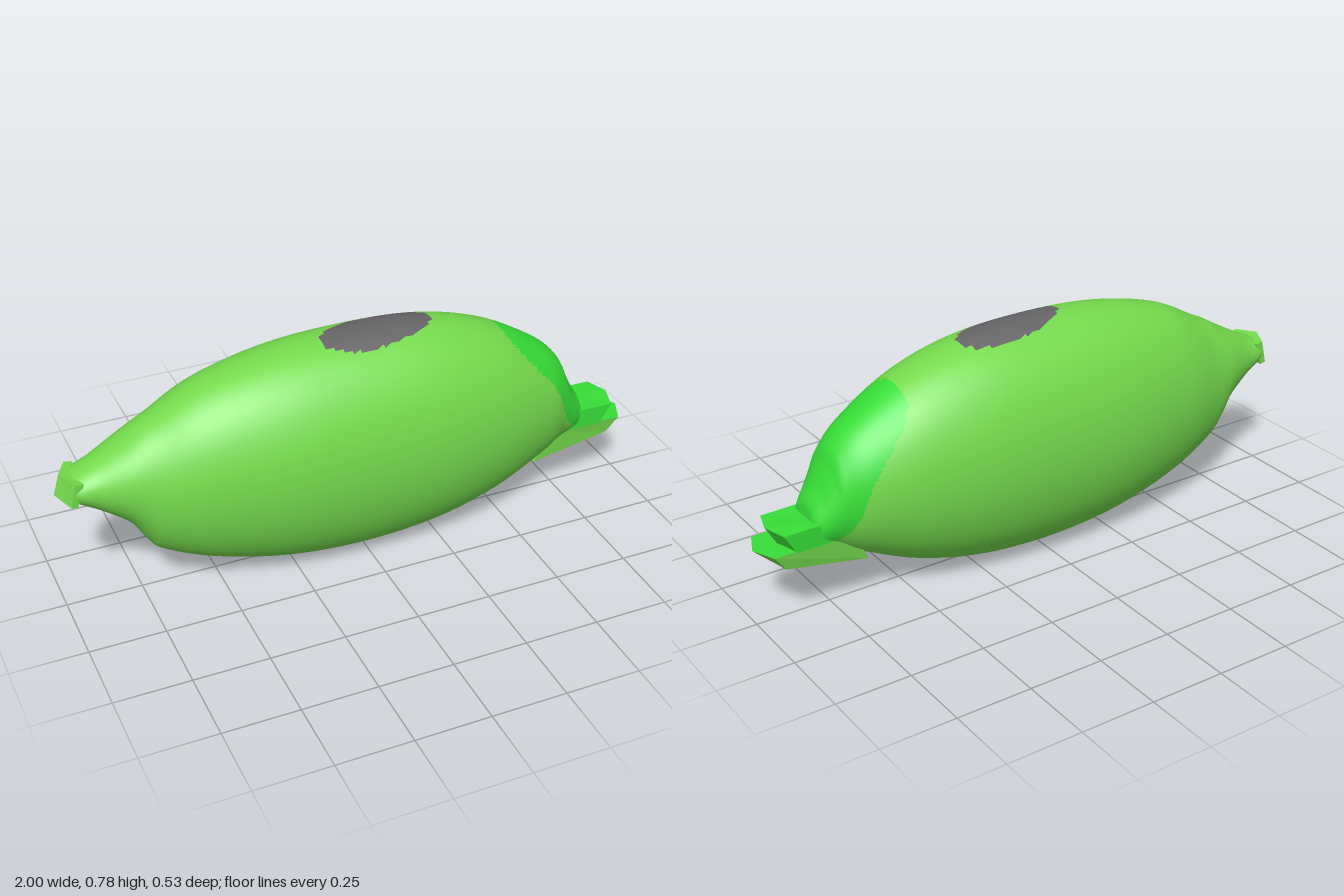
import * as THREE from 'three';

const material = (name, color) => {
  const m = new THREE.MeshStandardMaterial({ color });
  m.name = name;
  return m;
};

// Body stations: x, top y, bottom y, half width
const STATIONS = [
  [-0.96, 0.455, 0.445, 0.005],
  [-0.95, 0.49, 0.41, 0.068],
  [-0.87, 0.53, 0.355, 0.095],
  [-0.78, 0.58, 0.285, 0.13],
  [-0.73, 0.61, 0.205, 0.148],
  [-0.68, 0.635, 0.155, 0.165],
  [-0.52, 0.715, 0.085, 0.215],
  [-0.28, 0.77, 0.025, 0.255],
  [-0.02, 0.785, 0.003, 0.265],
  [0.24, 0.77, 0.02, 0.255],
  [0.46, 0.71, 0.075, 0.22],
  [0.64, 0.61, 0.155, 0.165],
  [0.72, 0.54, 0.195, 0.125],
  [0.75, 0.48, 0.21, 0.11],
  [0.78, 0.42, 0.22, 0.095],
  [0.81, 0.37, 0.23, 0.075],
  [0.818, 0.33, 0.24, 0.06],
  [0.822, 0.3, 0.28, 0.005],
];

// Which colour a body face takes: 0 skin, 1 face patch, 2 back spot
function patchAt(x, y, z) {
  if (x > 0.4) {
    const u = Math.abs((z + 0.008) / 0.145), v = Math.abs((y - 0.465) / 0.225);
    if (u ** 2.4 + v ** 2.4 < 1) return 1;
  }
  if (y > 0.6) {
    const u = (x - 0.07) / 0.2, v = (z - 0.005 + 0.12 * (x - 0.07)) / 0.09;
    if (u * u + v * v < 1) return 2;
  }
  return 0;
}

// Smooth body lofted from elliptical cross-sections
function bodyGeometry() {
  const spline = (pick) =>
    new THREE.CatmullRomCurve3(STATIONS.map(pick), false, 'catmullrom', 0.5);
  const profile = spline(([x, top, bottom]) => new THREE.Vector3(x, top, bottom));
  const widths = spline((s) => new THREE.Vector3(0, 0, s[3]));
  const rows = (STATIONS.length - 1) * 10, cols = 128;
  const pos = [];
  for (let i = 0; i <= rows; i++) {
    const p = profile.getPoint(i / rows);
    const w = widths.getPoint(i / rows).z;
    for (let j = 0; j < cols; j++) {
      const a = (j / cols) * Math.PI * 2;
      pos.push(p.x, (p.y + p.z) / 2 + ((p.y - p.z) / 2) * Math.cos(a), w * Math.sin(a));
    }
  }
  const faces = [[], [], []];
  const addFace = (...ids) => {
    const mid = [0, 1, 2].map((k) => ids.reduce((sum, id) => sum + pos[id * 3 + k], 0) / 3);
    faces[patchAt(...mid)].push(...ids);
  };
  for (let i = 0; i < rows; i++) {
    for (let j = 0; j < cols; j++) {
      const p = i * cols + j, q = i * cols + ((j + 1) % cols);
      addFace(p, q, p + cols);
      addFace(q, q + cols, p + cols);
    }
  }
  const geo = new THREE.BufferGeometry();
  geo.setAttribute('position', new THREE.Float32BufferAttribute(pos, 3));
  geo.setIndex(faces.flat());
  let start = 0;
  faces.forEach((f, k) => {
    geo.addGroup(start, f.length, k);
    start += f.length;
  });
  geo.computeVertexNormals();
  return geo;
}

// Flat-sided block between a top and a bottom outline; group 0 is the top, group 1 the rest
function prismGeometry(top, bottom) {
  const pos = [], n = top.length;
  const tri = (a, b, c) => pos.push(...a, ...b, ...c);
  for (let i = 1; i < n - 1; i++) tri(top[0], top[i], top[i + 1]);
  const topCount = pos.length / 3;
  for (let i = 1; i < n - 1; i++) tri(bottom[0], bottom[i + 1], bottom[i]);
  for (let i = 0; i < n; i++) {
    const j = (i + 1) % n;
    tri(top[i], bottom[i], bottom[j]);
    tri(top[i], bottom[j], top[j]);
  }
  const geo = new THREE.BufferGeometry();
  geo.setAttribute('position', new THREE.Float32BufferAttribute(pos, 3));
  geo.addGroup(0, topCount, 0);
  geo.addGroup(topCount, pos.length / 3 - topCount, 1);
  geo.computeVertexNormals();
  return geo;
}

// Symmetric outline: rear edge, front corners and a pointed tip, each as [x, y]
const outline = (rear, corner, tip, w) => [
  [...rear, -w], [...rear, w], [...corner, w], [...tip, 0], [...corner, -w],
];

export function createModel() {
  const skin = material('leaf green', 0x74d94c);
  const bright = material('bright green', 0x37dd37);
  const grey = material('spot grey', 0x676567);
  const model = new THREE.Group();
  model.name = 'fishBody';
  const add = (name, geo, mats) => {
    const mesh = new THREE.Mesh(geo, mats);
    mesh.name = name;
    model.add(mesh);
  };

  add('body', bodyGeometry(), [skin, bright, grey]);

  // Mouth: short upper lip over a longer jaw
  add('upperLip', prismGeometry(
    outline([0.74, 0.325], [0.925, 0.322], [0.95, 0.325], 0.08),
    outline([0.74, 0.255], [0.885, 0.255], [0.91, 0.255], 0.08),
  ), [bright, bright]);
  add('lowerJaw', prismGeometry(
    outline([0.7, 0.265], [0.96, 0.26], [0.995, 0.26], 0.08),
    outline([0.64, 0.152], [0.92, 0.205], [0.945, 0.215], 0.07),
  ), [bright, skin]);

  // Tail stub with a pointed rear edge
  const stub = (front, corner, tip, w) => [
    [...tip, 0], [...corner, w], [...front, w], [...front, -w], [...corner, -w],
  ];
  add('tailStub', prismGeometry(
    stub([-0.92, 0.49], [-0.945, 0.495], [-0.98, 0.5], 0.07),
    stub([-0.945, 0.41], [-0.965, 0.415], [-1, 0.43], 0.07),
  ), [skin, skin]);

  return model;
}
